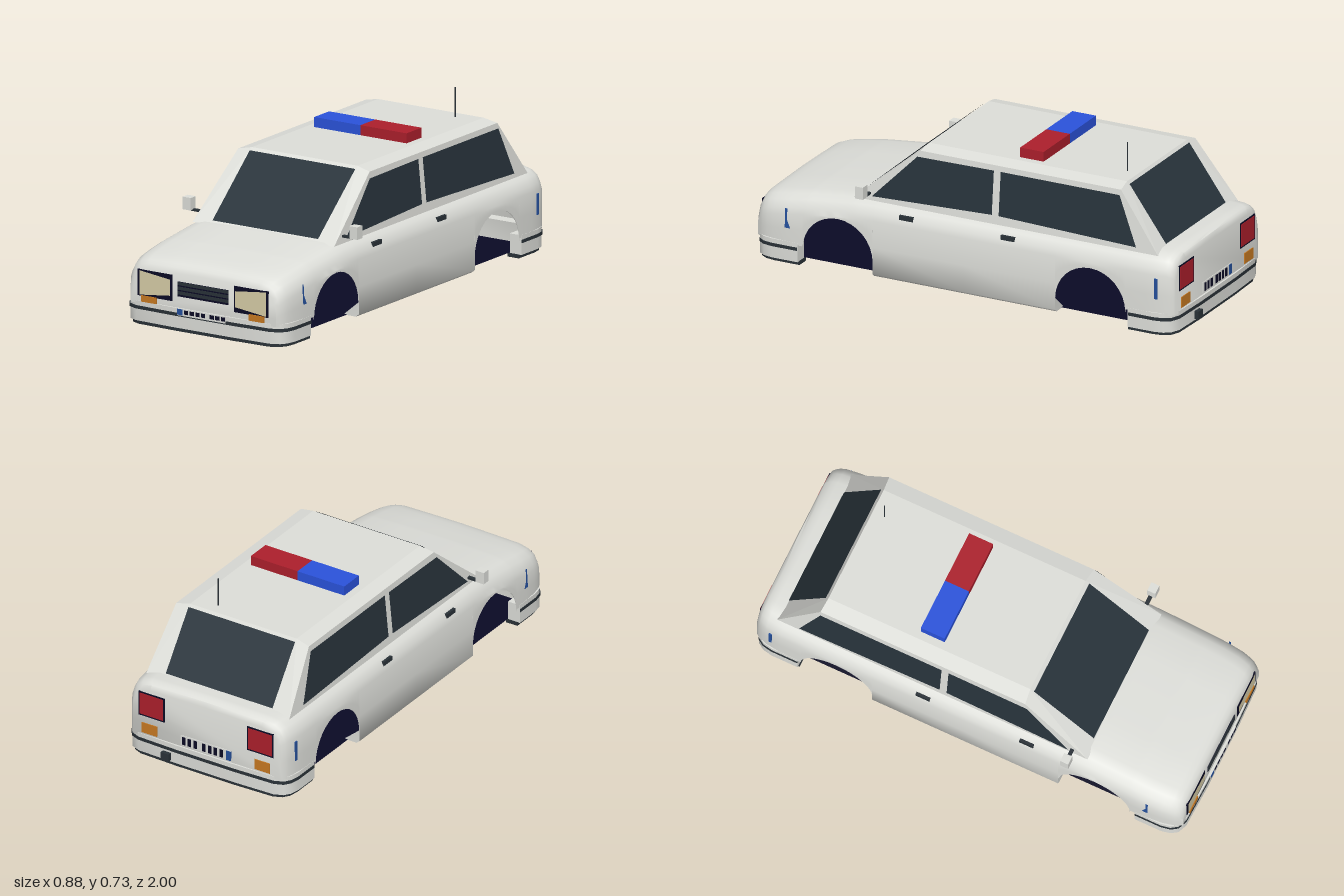
import * as THREE from 'three';
import { toCreasedNormals } from 'three/addons/utils/BufferGeometryUtils.js';
import { ConvexGeometry } from 'three/addons/geometries/ConvexGeometry.js';

const material = (name, color) =>
  new THREE.MeshStandardMaterial({ name, color, side: THREE.DoubleSide });

// Linear interpolation through [position, value] pairs
function lerpTable(table, p) {
  for (let i = 1; i < table.length; i++) {
    const [a, va] = table[i - 1], [b, vb] = table[i];
    if (p <= b) return va + (vb - va) * Math.max(0, (p - a) / (b - a));
  }
  return table[table.length - 1][1];
}

const ARCH_Z = 0.593, ARCH_Y = 0.078, ARCH_R = 0.165, SILL = 0.015, END = 0.09;

export function createModel() {
  const car = new THREE.Group();
  car.name = 'car';
  const paint = material('pale grey paint', 0xdedfda);
  const glass = material('dark glass', 0x28333b);
  const trim = material('dark trim', 0x2a3238);
  const navy = material('underbody navy', 0x0a0a24);
  const red = material('red', 0xad1f2c);
  const blue = material('beacon blue', 0x2b53dc);
  const deepBlue = material('marker blue', 0x25509c);
  const cream = material('headlight cream', 0xd8cea8);
  const orange = material('indicator orange', 0xc87a22);

  const add = (name, geometry, mat) => {
    const mesh = new THREE.Mesh(geometry, mat);
    mesh.name = name;
    car.add(mesh);
    return mesh;
  };
  const box = (name, mat, x0, x1, y0, y1, z0, z1) => {
    const g = new THREE.BoxGeometry(Math.abs(x1 - x0), y1 - y0, Math.abs(z1 - z0));
    g.translate((x0 + x1) / 2, (y0 + y1) / 2, (z0 + z1) / 2);
    return add(name, g, mat);
  };
  // Flat panel through three or four corners
  const panel = (name, mat, corners) => {
    const g = new THREE.BufferGeometry();
    g.setAttribute('position', new THREE.Float32BufferAttribute(corners.flat(), 3));
    g.setIndex(corners.length === 4 ? [0, 1, 2, 0, 2, 3] : [0, 1, 2]);
    g.computeVertexNormals();
    return add(name, g, mat);
  };

  // Lower body: cross-sections along z, lifted over the wheel arches
  const topAt = [[-0.975, 0.315], [-0.968, 0.338], [-0.94, 0.349], [-0.88, 0.35], [0.4, 0.349],
    [0.53, 0.343], [0.75, 0.318], [0.9, 0.293], [0.95, 0.28], [0.972, 0.264], [0.985, 0.243]];
  const widthAt = [[-0.975, 0.91], [-0.955, 0.95], [-0.92, 0.98], [-0.85, 1],
    [0.83, 1], [0.91, 0.985], [0.955, 0.955], [0.985, 0.91]];
  const shoulder = [[0, 0.3], [0.01, 0.345], [0.028, 0.375], [0.06, 0.392], [0.085, 0.4]];
  const stations = [];
  const arch = (c) => {
    for (let k = 0; k <= 16; k++) {
      const a = Math.PI * k / 16;
      stations.push([c - ARCH_R * Math.cos(a), ARCH_Y + ARCH_R * Math.sin(a)]);
    }
  };
  for (const z of [-0.975, -0.968, -0.955, -0.94, -0.92, -0.88, -0.85, -ARCH_Z - ARCH_R]) stations.push([z, END]);
  arch(-ARCH_Z);
  for (const z of [-ARCH_Z + ARCH_R, 0, ARCH_Z - ARCH_R]) stations.push([z, SILL]);
  arch(ARCH_Z);
  for (const z of [ARCH_Z + ARCH_R, 0.83, 0.9, 0.93, 0.955, 0.972, 0.985]) stations.push([z, END]);

  const section = ([z, bottom]) => {
    const t = lerpTable(topAt, z), w = lerpTable(widthAt, z);
    const isSill = bottom === SILL;
    const low = bottom + (isSill ? 0.012 : 0.001);
    // The sill folds inwards; arches and ends are a thin shell
    const half = [[isSill ? 0.325 : 0.4, bottom], [isSill ? 0.388 : 0.402, bottom], [0.402, low], [0.402, (t - 0.085 + low) / 2]];
    for (const [d, x] of [...shoulder].reverse()) half.push([x, t - d]);
    half.push([0.15, t + 0.003]);
    const left = half.map(([x, y]) => [-x * w, y, z]);
    const right = half.map(([x, y]) => [x * w, y, z]).reverse();
    return [...left, [0, t + 0.005, z], ...right];
  };
  const rings = stations.map(section), n = rings[0].length, index = [];
  for (let i = 0; i < rings.length - 1; i++)
    for (let j = 0; j < n - 1; j++) {
      const a = i * n + j, c = a + n;
      index.push(a, c, a + 1, a + 1, c, c + 1);
    }
  const last = (rings.length - 1) * n;
  for (let k = 1; k < n - 1; k++) index.push(0, k, k + 1, last, last + k + 1, last + k);
  const bodyGeometry = new THREE.BufferGeometry();
  bodyGeometry.setAttribute('position', new THREE.Float32BufferAttribute(rings.flat(2), 3));
  bodyGeometry.setIndex(index);
  add('body', toCreasedNormals(bodyGeometry, 0.9), paint);

  // Flat floor running under the whole car, wheel bays included
  const floor = new THREE.PlaneGeometry(0.69, 1.88);
  add('floor', floor.rotateX(Math.PI / 2).translate(0, SILL + 0.003, 0.005), navy);

  // Wrap-round bumpers with dark strips
  const outer = [[0.403, 0.78], [0.403, 0.9], [0.395, 0.942], [0.376, 0.97], [0.335, 0.987], [0.15, 0.993]];
  const inner = [[0.345, 0.78], [0.345, 0.9], [0.3, 0.93]];
  const mirrored = (pts) => [...pts, ...pts.map(([x, z]) => [-x, z]).reverse()];
  const plan = new THREE.Shape([...mirrored(outer), ...mirrored(inner).reverse()].map(([x, z]) => new THREE.Vector2(x, z)));
  const layer = (name, mat, y0, y1, sx, sz, rear) => {
    const g = new THREE.ExtrudeGeometry(plan, { depth: y1 - y0, bevelEnabled: false });
    g.rotateX(Math.PI / 2).translate(0, y1, 0).scale(sx, 1, sz);
    if (rear) g.rotateY(Math.PI).translate(0, 0, 0.01);
    add(name, toCreasedNormals(g, 0.6), mat);
  };
  for (const rear of [false, true]) {
    const end = rear ? 'rear' : 'front';
    layer(end + 'Bumper', paint, 0.015, 0.1, 1, 1, rear);
    layer(end + 'BumperStrip', trim, 0.066, 0.08, 1.005, 1.002, rear);
    layer(end + 'BumperBase', trim, 0, 0.016, 0.975, 0.995, rear);
  }

  // Cabin with a slightly crowned roof
  const cabin = [];
  for (const [x, y, zf, zr] of [[0.355, 0.335, 0.541, -0.887], [0.33, 0.588, 0.242, -0.7], [0.265, 0.602, 0.235, -0.694]])
    for (const s of [-1, 1]) cabin.push(new THREE.Vector3(s * x, y, zf), new THREE.Vector3(s * x, y, zr));
  add('cabin', new ConvexGeometry(cabin), paint);
  const W = 0.265;
  panel('windscreen', glass, [[-W, 0.352, 0.527], [W, 0.352, 0.527], [W, 0.592, 0.252], [-W, 0.592, 0.252]]);
  panel('rearWindow', glass, [[W, 0.356, -0.877], [-W, 0.356, -0.877], [-W, 0.592, -0.706], [W, 0.592, -0.706]]);

  const sideX = (y) => 0.36 - 0.025 * (y - 0.335) / 0.253;
  for (const s of [-1, 1]) {
    const sideGlass = (name, pts) => panel(name, glass, pts.map(([z, y]) => [s * sideX(y), y, z]));
    sideGlass('frontSideWindow', [[0.455, 0.355], [0.252, 0.562], [-0.107, 0.566], [-0.107, 0.375]]);
    sideGlass('rearSideWindow', [[-0.139, 0.375], [-0.139, 0.566], [-0.697, 0.566], [-0.785, 0.356]]);

    // Handles, side markers and mirrors
    for (const z of [0.277, -0.2]) box('doorHandle', trim, s * 0.375, s * 0.394, 0.289, 0.308, z - 0.032, z + 0.032);
    const marker = (pts) => panel('frontSideMarker', deepBlue, pts.map(([z, y]) => [s * (0.404 - 0.06 * (y - 0.16)), y, z]));
    marker([[0.84, 0.16], [0.83, 0.16], [0.83, 0.245], [0.84, 0.245]]);
    marker([[0.83, 0.16], [0.814, 0.16], [0.83, 0.195]]);
    box('rearSideMarker', deepBlue, s * 0.392, s * 0.4, 0.16, 0.25, -0.906, -0.892);
    box('mirrorStalk', trim, s * 0.335, s * 0.415, 0.361, 0.37, 0.462, 0.478);
    box('mirror', paint, s * 0.398, s * 0.438, 0.366, 0.42, 0.455, 0.492);

    // Headlights, indicators and tail lights
    box('headlightFrame', navy, s * 0.155, s * 0.328, 0.124, 0.237, 0.981, 0.987);
    panel('headlight', cream, [[s * 0.163, 0.146, 0.989], [s * 0.318, 0.128, 0.989], [s * 0.318, 0.233, 0.989], [s * 0.163, 0.215, 0.989]]);
    box('frontIndicator', orange, s * 0.233, s * 0.308, 0.1, 0.127, 0.984, 0.992);
    box('tailLightFrame', navy, s * 0.205, s * 0.335, 0.187, 0.3, -0.977, -0.97);
    box('tailLight', red, s * 0.212, s * 0.328, 0.194, 0.293, -0.979, -0.972);
    box('rearIndicator', orange, s * 0.242, s * 0.318, 0.108, 0.155, -0.979, -0.972);

    // Roof beacon halves
    box('roofBeacon', s > 0 ? red : blue, 0, s * 0.232, 0.598, 0.645, -0.285, -0.175);
  }

  // Grille
  box('grille', navy, -0.127, 0.127, 0.149, 0.213, 0.981, 0.987);
  for (const y of [0.165, 0.185, 0.205]) box('grilleBar', trim, -0.127, 0.127, y - 0.007, y + 0.007, 0.984, 0.989);

  // Registration plates with plain bars
  box('frontPlate', paint, -0.122, 0.12, 0.071, 0.101, 0.988, 0.997);
  box('frontPlateBand', deepBlue, -0.122, -0.095, 0.074, 0.099, 0.99, 0.999);
  box('rearPlate', paint, -0.125, 0.125, 0.106, 0.154, -0.978, -0.972);
  box('rearPlateBand', deepBlue, -0.125, -0.103, 0.108, 0.152, -0.98, -0.973);
  for (const x of [-0.077, -0.048, -0.02, 0.008, 0.052, 0.08, 0.108]) {
    box('frontPlateBar', navy, x - 0.01, x + 0.01, 0.079, 0.096, 0.99, 0.999);
    box('rearPlateBar', navy, x - 0.008, x + 0.008, 0.112, 0.148, -0.98, -0.973);
  }

  // Exhaust and aerial
  box('exhaust', trim, 0.17, 0.21, 0.022, 0.056, -1, -0.93);
  const aerial = new THREE.CylinderGeometry(0.0025, 0.0025, 0.135, 8);
  add('aerial', aerial.translate(0.16, 0.6625, -0.64), trim);
  return car;
}
